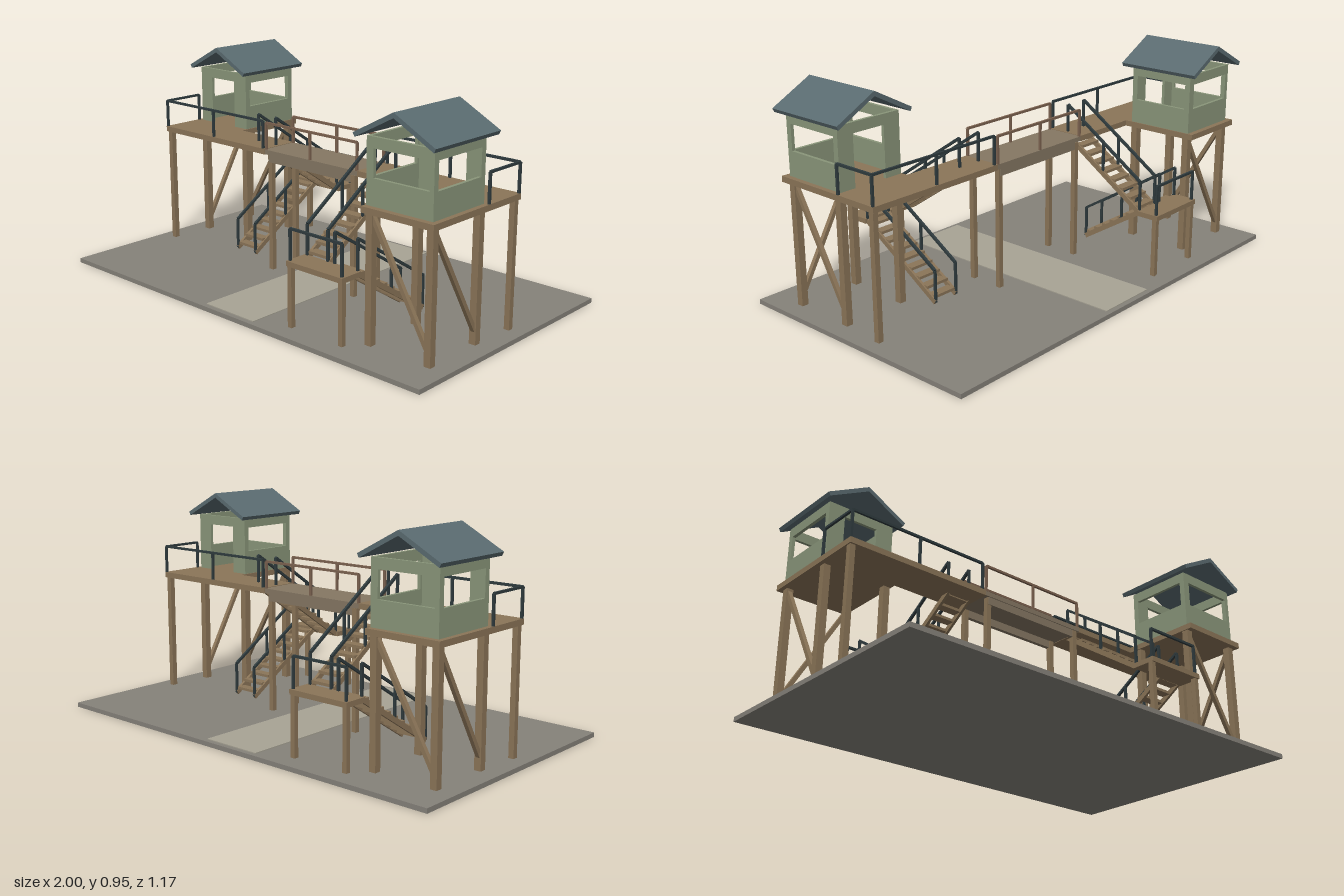
import * as THREE from 'three';

const mat = (color) => new THREE.MeshStandardMaterial({ color });
const WOOD = mat(0x8b7558), PLANK = mat(0x857763), HUT = mat(0x8a967a), ROOF = mat(0x5a6b70);
const RAIL = mat(0x2f3b3e), BRIDGE_RAIL = mat(0x7d6350), GROUND = mat(0x86827a), ROAD = mat(0xa8a495);

// Box given by its extents on each axis
function box(parent, name, material, [x0, x1], [y0, y1], [z0, z1]) {
  const m = new THREE.Mesh(new THREE.BoxGeometry(x1 - x0, y1 - y0, z1 - z0), material);
  m.position.set((x0 + x1) / 2, (y0 + y1) / 2, (z0 + z1) / 2);
  m.name = name;
  parent.add(m);
  return m;
}

// Straight square bar between two points
function bar(parent, name, material, a, b, w, h = w) {
  const p = new THREE.Vector3(...a), q = new THREE.Vector3(...b);
  const m = new THREE.Mesh(new THREE.BoxGeometry(w, h, p.distanceTo(q)), material);
  m.position.copy(p).add(q).multiplyScalar(0.5);
  m.lookAt(q);
  m.name = name;
  parent.add(m);
  return m;
}

const post = (parent, name, x, z, top, w) =>
  box(parent, name, WOOD, [x - w / 2, x + w / 2], [0.02, top], [z - w / 2, z + w / 2]);

// Horizontal handrail with evenly spaced uprights
function railing(parent, name, material, a, b, y0, y1, count, w = 0.01) {
  const g = new THREE.Group();
  g.name = name;
  bar(g, 'handrail', material, [a[0], y1, a[1]], [b[0], y1, b[1]], w);
  for (let i = 0; i < count; i++) {
    const t = i / (count - 1);
    const x = a[0] + (b[0] - a[0]) * t, z = a[1] + (b[1] - a[1]) * t;
    box(g, 'railPost', material, [x - w / 2, x + w / 2], [y0, y1], [z - w / 2, z + w / 2]);
  }
  parent.add(g);
}

// Wall panel with a rectangular hole, in the XY plane, extruded along +z
function wall(parent, name, width, hole) {
  const s = new THREE.Shape();
  const y0 = 0.577, y1 = 0.84, [hx0, hx1, hy0, hy1] = hole;
  if (hy0 <= y0) {
    [[0, y0], [hx0, y0], [hx0, hy1], [hx1, hy1], [hx1, y0], [width, y0], [width, y1], [0, y1]]
      .forEach(([x, y], i) => (i ? s.lineTo(x, y) : s.moveTo(x, y)));
  } else {
    s.moveTo(0, y0).lineTo(width, y0).lineTo(width, y1).lineTo(0, y1);
    s.holes.push(new THREE.Path().moveTo(hx0, hy0).lineTo(hx0, hy1).lineTo(hx1, hy1).lineTo(hx1, hy0));
  }
  const m = new THREE.Mesh(new THREE.ExtrudeGeometry(s, { depth: 0.014, bevelEnabled: false }), HUT);
  m.name = name;
  parent.add(m);
  return m;
}

function hut() {
  const g = new THREE.Group();
  g.name = 'hut';
  wall(g, 'frontWall', 0.31, [0.033, 0.29, 0.684, 0.796]).position.set(0.61, 0, 0.413);
  wall(g, 'doorWall', 0.31, [0.08, 0.235, 0.577, 0.796]).position.set(0.61, 0, 0.12);
  for (const x of [0.61, 0.906]) {
    const m = wall(g, 'sideWall', 0.307, [0.025, 0.282, 0.684, 0.796]);
    m.rotation.y = -Math.PI / 2;
    m.position.set(x + 0.014, 0, 0.12);
  }
  // Gabled roof, open at both ends
  const s = new THREE.Shape();
  [[-0.188, 0.853], [-0.18, 0.837], [0, 0.932], [0.18, 0.837], [0.188, 0.853], [0, 0.953]]
    .forEach(([x, y], i) => (i ? s.lineTo(x, y) : s.moveTo(x, y)));
  const roof = new THREE.Mesh(new THREE.ExtrudeGeometry(s, { depth: 0.388, bevelEnabled: false }), ROOF);
  roof.position.set(0.765, 0, 0.079);
  roof.name = 'roof';
  g.add(roof);
  return g;
}

// Flight between two heights along z: stringers, treads and sloping handrails
function flight(name, x0, x1, zA, yA, zB, yB) {
  const g = new THREE.Group();
  g.name = name;
  const steps = 9, at = (t) => [yA + (yB - yA) * t, zA + (zB - zA) * t];
  for (const x of [x0, x1]) {
    bar(g, 'stringer', WOOD, [x, yA, zA], [x, yB, zB], 0.012, 0.022);
    bar(g, 'stairRail', RAIL, [x, yA + 0.14, zA], [x, yB + 0.14, zB], 0.011);
    for (const t of [0, 0.5, 1]) {
      const [y, z] = at(t);
      box(g, 'stairRailPost', RAIL, [x - 0.005, x + 0.005], [y, y + 0.14], [z - 0.005, z + 0.005]);
    }
  }
  for (let i = 0; i < steps; i++) {
    const [y, z] = at((i + 0.5) / steps);
    box(g, 'tread', WOOD, [x0, x1], [y + 0.002, y + 0.014], [z - 0.021, z + 0.021]);
  }
  return g;
}

// One watch post with its walkway, stairs and supports
function towerSide() {
  const g = new THREE.Group();
  g.name = 'towerSide';
  box(g, 'walkway', WOOD, [0.27, 0.942], [0.552, 0.577], [-0.092, 0.09]);
  box(g, 'hutPlatform', WOOD, [0.605, 0.942], [0.552, 0.577], [0.09, 0.452]);
  g.add(hut());
  for (const x of [0.625, 0.909]) for (const z of [0.133, 0.413]) post(g, 'hutPost', x, z, 0.552, 0.03);
  post(g, 'walkwayPost', 0.925, -0.072, 0.552, 0.024);
  for (const z of [-0.072, 0.077]) post(g, 'bridgePost', 0.245, z, 0.552, 0.022);
  bar(g, 'frontBrace', WOOD, [0.63, 0.54, 0.413], [0.905, 0.07, 0.413], 0.018);
  bar(g, 'sideBrace', WOOD, [0.909, 0.54, 0.408], [0.909, 0.07, 0.136], 0.018);

  // Stairs with a landing at the turn
  g.add(flight('lowerFlight', 0.436, 0.553, 0, 0.032, 0.405, 0.288));
  g.add(flight('upperFlight', 0.29, 0.4, 0.405, 0.288, 0, 0.56));
  box(g, 'landing', WOOD, [0.275, 0.567], [0.277, 0.299], [0.403, 0.51]);
  for (const x of [0.286, 0.553]) post(g, 'landingPost', x, 0.494, 0.277, 0.021);
  railing(g, 'landingRailing', RAIL, [0.285, 0.497], [0.555, 0.497], 0.299, 0.43, 2);

  // Walkway railings
  railing(g, 'walkwayRailing', RAIL, [0.285, -0.085], [0.937, -0.085], 0.577, 0.7, 3);
  railing(g, 'endRailing', RAIL, [0.937, -0.085], [0.937, 0.112], 0.577, 0.7, 2);
  return g;
}

export function createModel() {
  const model = new THREE.Group();
  model.name = 'gateWatchtowers';
  box(model, 'ground', GROUND, [-1, 1], [0, 0.02], [-0.586, 0.586]);
  box(model, 'road', ROAD, [-0.14, 0.14], [0.02, 0.024], [-0.565, 0.565]);

  // The two sides are the same, turned half a circle
  const side = towerSide();
  const opposite = side.clone();
  opposite.rotation.y = Math.PI;
  model.add(side, opposite);

  // Bridge over the road
  const bridge = new THREE.Group();
  bridge.name = 'bridge';
  box(bridge, 'bridgeDeck', PLANK, [-0.27, 0.27], [0.554, 0.575], [-0.09, 0.09]);
  for (const z of [-0.077, 0.077]) {
    box(bridge, 'bridgeBeam', PLANK, [-0.25, 0.25], [0.52, 0.554], [z - 0.009, z + 0.009]);
    railing(bridge, 'bridgeRailing', BRIDGE_RAIL, [-0.265, z * 1.1], [0.265, z * 1.1], 0.575, 0.695, 3);
  }
  model.add(bridge);
  return model;
}
